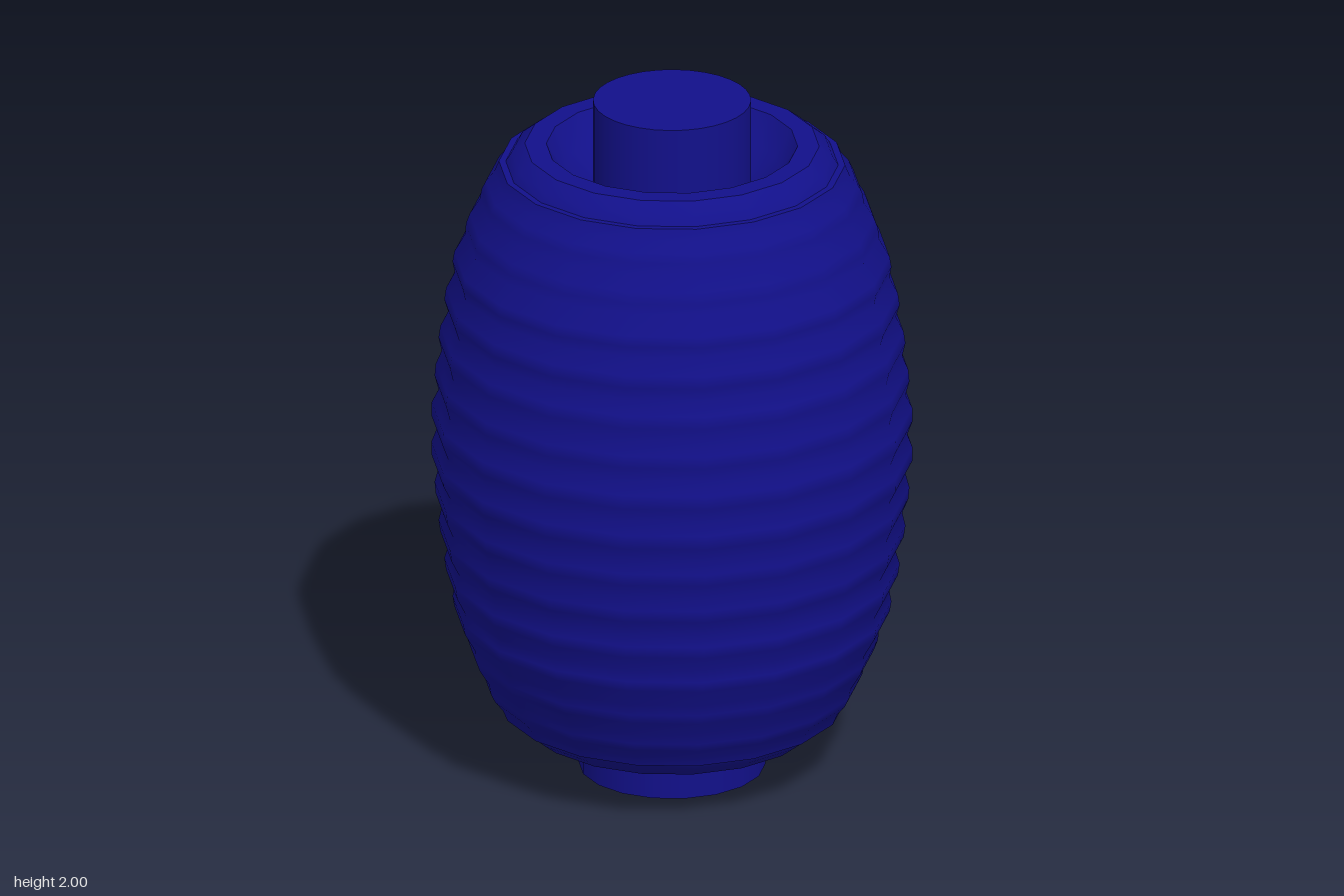
import * as THREE from 'three';

const SIDES = 18;
const material = new THREE.MeshStandardMaterial({ color: 0x12108a, side: THREE.DoubleSide });

// Turned surface from [radius, y] pairs, with a corner on the x axis
function turned(name, profile) {
  const points = profile.map(([r, y]) => new THREE.Vector2(r, y));
  const mesh = new THREE.Mesh(new THREE.LatheGeometry(points, SIDES, Math.PI / 2), material);
  mesh.name = name;
  return mesh;
}

function rod(name, radius, bottom, top, sides) {
  const geometry = new THREE.CylinderGeometry(radius, radius, top - bottom, sides, 1, false, Math.PI / 2);
  const mesh = new THREE.Mesh(geometry, material);
  mesh.position.y = (bottom + top) / 2;
  mesh.name = name;
  return mesh;
}

export function createModel() {
  const lantern = new THREE.Group();
  lantern.name = 'paperLantern';

  // Upper half of the ribbed shell: [radius, height above the middle], valleys and crests alternating
  const half = [
    [0.655, 0], [0.67, 0.04], [0.669, 0.08],
    [0.65, 0.118], [0.661, 0.16], [0.658, 0.195],
    [0.641, 0.236], [0.65, 0.275], [0.645, 0.31],
    [0.623, 0.354], [0.634, 0.39], [0.629, 0.425],
    [0.605, 0.472], [0.611, 0.505], [0.606, 0.535],
    [0.575, 0.59], [0.574, 0.62], [0.563, 0.65],
    [0.535, 0.695], [0.53, 0.725], [0.518, 0.75],
    [0.495, 0.778], [0.482, 0.81],
  ];
  const lower = half.slice(1).reverse().map(([r, d]) => [r, 1 - d]);
  const upper = half.map(([r, d]) => [r, 1 + d]);
  lantern.add(turned('ribbedShell', [...lower, ...upper]));

  // Stepped collar, flat rim and recessed bowl at each end
  const endParts = {
    Ledge: [[0.482, 0.81], [0.463, 0.81]],
    Collar: [[0.463, 0.81], [0.447, 0.836], [0.41, 0.865]],
    Rim: [[0.41, 0.865], [0.35, 0.865]],
    Bowl: [[0.35, 0.865], [0.3, 0.79], [0.21, 0.73]],
  };
  for (const [part, profile] of Object.entries(endParts)) {
    lantern.add(turned('top' + part, profile.map(([r, d]) => [r, 1 + d])));
    lantern.add(turned('bottom' + part, profile.map(([r, d]) => [r, 1 - d]).reverse()));
  }

  // End caps projecting from the bowls
  lantern.add(rod('topCap', 0.22, 1.7, 2, 32));
  lantern.add(rod('bottomCap', 0.26, 0, 0.3, SIDES));
  return lantern;
}
